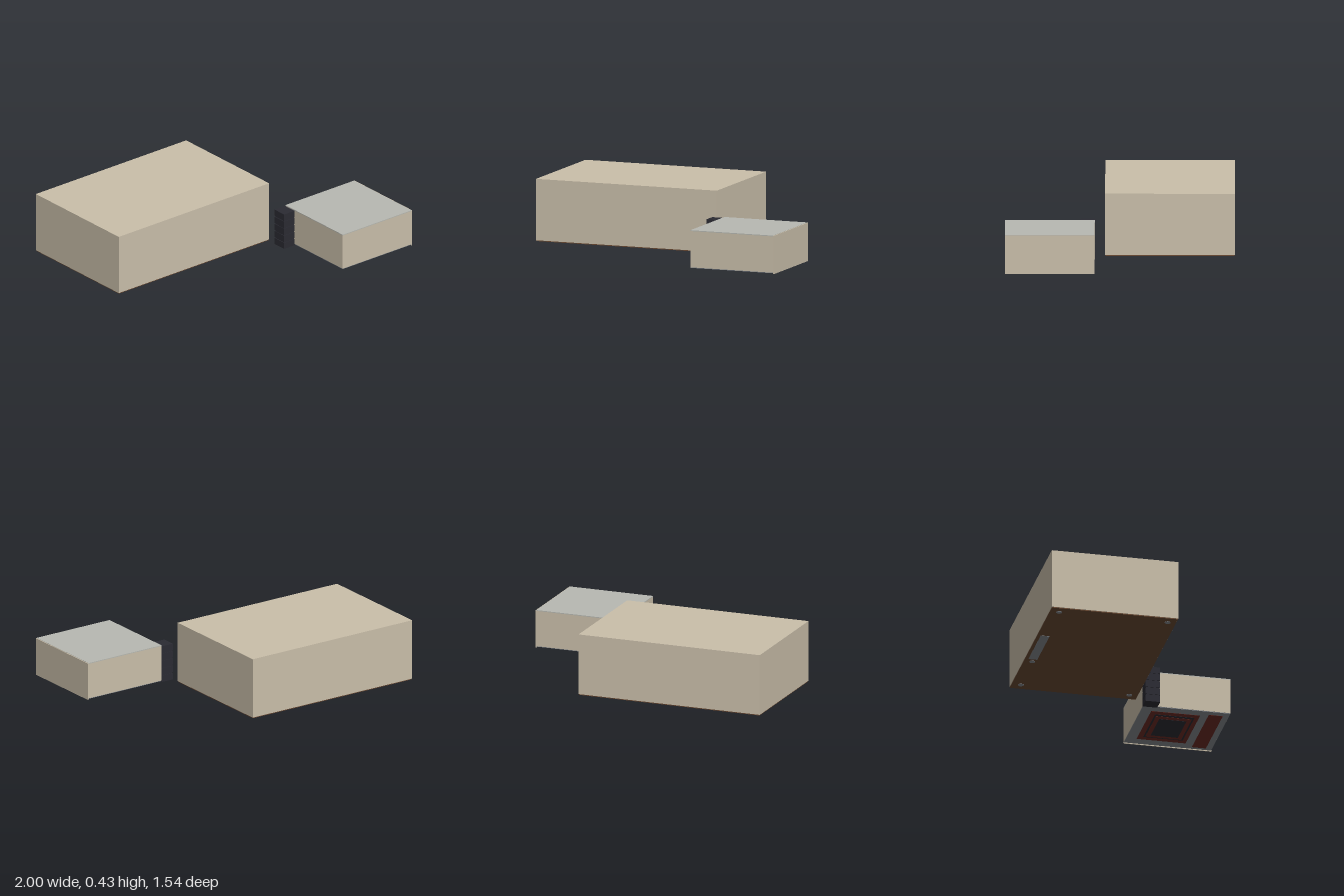
import * as THREE from 'three';

const mat = (name, color) => {
  const m = new THREE.MeshStandardMaterial({ color });
  m.name = name;
  return m;
};

export function createModel() {
  const beige = mat('beige casing', 0xcabfaa);
  const silver = mat('silver lid', 0xb8b9b2);
  const steel = mat('steel grey', 0x878c91);
  const brown = mat('brown base', 0x6b4a33);
  const red = mat('dark red', 0x6c2c24);
  const black = mat('charcoal', 0x2b2b33);

  // Box given by its limits on each axis
  const block = (parent, name, m, [x0, x1], [y0, y1], [z0, z1]) => {
    const mesh = new THREE.Mesh(new THREE.BoxGeometry(x1 - x0, y1 - y0, z1 - z0), m);
    mesh.position.set((x0 + x1) / 2, (y0 + y1) / 2, (z0 + z1) / 2);
    mesh.name = name;
    parent.add(mesh);
    return mesh;
  };

  const model = new THREE.Group();
  model.name = 'twoBoxes';

  // Large case with its base plate
  const large = new THREE.Group();
  large.name = 'largeCase';
  model.add(large);
  block(large, 'largeCasing', beige, [-1, 0.31], [0.008, 0.425], [-0.77, 0.1]);
  block(large, 'largeBase', brown, [-0.997, 0.307], [0.002, 0.008], [-0.767, 0.097]);
  block(large, 'baseSlot', steel, [-0.55, -0.17], [0, 0.004], [-0.745, -0.685]);

  // Screws under the base: four corners and one beside the slot
  const screwGeo = new THREE.CylinderGeometry(0.02, 0.02, 0.004, 16);
  for (const [x, z] of [[0.245, -0.705], [0.245, 0.04], [-0.935, -0.705], [-0.935, 0.04], [-0.13, -0.71]]) {
    const screw = new THREE.Mesh(screwGeo, steel);
    screw.position.set(x, 0.002, z);
    screw.name = 'baseScrew';
    large.add(screw);
  }

  // Small case with side panel, lid and underside frame
  const small = new THREE.Group();
  small.name = 'smallCase';
  model.add(small);
  block(small, 'smallCasing', beige, [0.395, 0.994], [0.01, 0.256], [0.168, 0.77]);
  block(small, 'sidePanel', beige, [0.994, 1], [0, 0.26], [0.168, 0.77]);
  block(small, 'lid', silver, [0.395, 0.994], [0.256, 0.262], [0.168, 0.77]);
  block(small, 'undersideFrame', steel, [0.397, 0.994], [0.006, 0.01], [0.17, 0.768]);

  // Nested thin plates on the underside, each slightly lower than the last
  const plates = [
    ['outerPlate', red, 0.13, 0.88, 0.12, 0.68, 0.0045],
    ['groove', black, 0.2, 0.81, 0.18, 0.63, 0.003],
    ['innerPlate', red, 0.22, 0.77, 0.2, 0.61, 0.0015],
    ['centrePlate', black, 0.27, 0.71, 0.25, 0.56, 0],
    ['frontStrip', red, 0.05, 0.92, 0.77, 0.93, 0.0045],
  ];
  for (const [name, m, u0, u1, v0, v1, y] of plates) {
    block(small, name, m, [0.995 - u1 * 0.6, 0.995 - u0 * 0.6], [y, 0.007],
      [0.168 + v0 * 0.6, 0.168 + v1 * 0.6]);
  }

  // Ribbed connector beside the small case
  const connector = new THREE.Group();
  connector.name = 'connector';
  model.add(connector);
  block(connector, 'connectorCore', black, [0.308, 0.396], [0.004, 0.25], [0.168, 0.261]);
  for (let i = 0; i < 5; i++) {
    const y = i * 0.0525;
    block(connector, 'connectorRib', black, [0.304, 0.396], [y, y + 0.045], [0.164, 0.265]);
  }
  return model;
}
